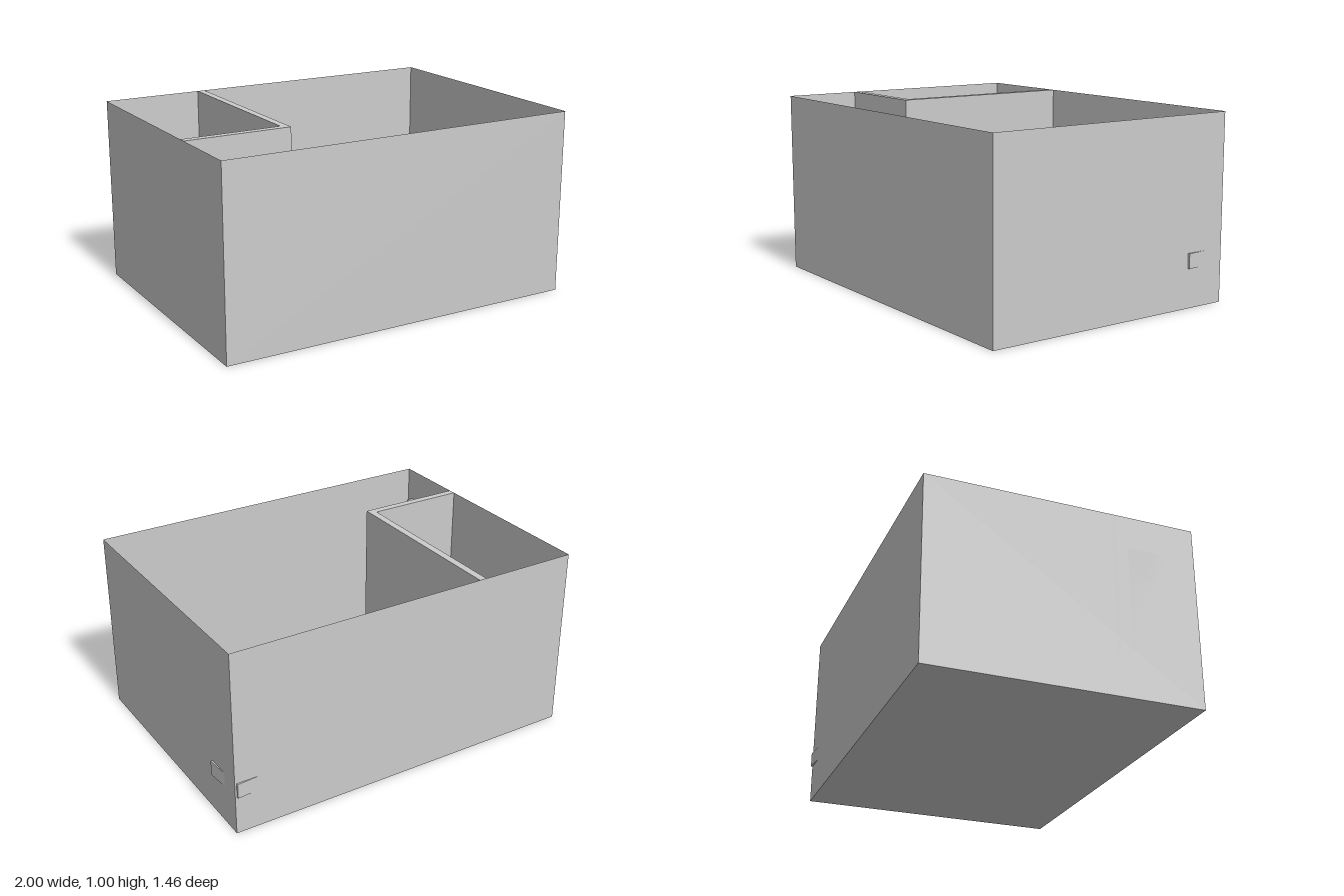
import * as THREE from 'three';

const X0 = -1, X1 = 0.99, Z = 0.725, H = 1;

export function createModel() {
  const group = new THREE.Group();
  const solid = new THREE.MeshStandardMaterial({ color: 0xcccccc, flatShading: true });
  const thin = new THREE.MeshStandardMaterial({ color: 0xcccccc, side: THREE.DoubleSide });

  const add = (name, geometry, material = solid) => {
    const mesh = new THREE.Mesh(geometry, material);
    mesh.name = name;
    group.add(mesh);
    return mesh;
  };
  // Box given by its extents along each axis
  const block = (name, [xa, xb], [ya, yb], [za, zb]) =>
    add(name, new THREE.BoxGeometry(xb - xa, yb - ya, zb - za))
      .position.set((xa + xb) / 2, (ya + yb) / 2, (za + zb) / 2);

  // Room shell: paper-thin floor and four walls, open at the top
  const cx = (X0 + X1) / 2, width = X1 - X0;
  const floor = add('floor', new THREE.PlaneGeometry(width, 2 * Z), thin);
  floor.rotation.x = -Math.PI / 2;
  floor.position.x = cx;
  for (const [name, z] of [['frontWall', Z], ['backWall', -Z]]) {
    add(name, new THREE.PlaneGeometry(width, H), thin).position.set(cx, H / 2, z);
  }
  for (const [name, x] of [['rightWall', X0], ['leftWall', X1]]) {
    const wall = add(name, new THREE.PlaneGeometry(2 * Z, H), thin);
    wall.rotation.y = Math.PI / 2;
    wall.position.set(x, H / 2, 0);
  }

  // L-shaped partition enclosing the back corner room
  const plan = [[X0, 0.31], [-0.42, 0.31], [-0.42, -Z], [-0.46, -Z], [-0.46, 0.27], [X0, 0.27]];
  const outline = new THREE.Shape(plan.map(([x, z]) => new THREE.Vector2(x, -z)));
  add('partition', new THREE.ExtrudeGeometry(outline, { depth: H, bevelEnabled: false }))
    .rotation.x = -Math.PI / 2;

  // Furniture and fittings
  block('door', [X0, -0.96], [0, 0.82], [0.35, 0.68]);
  block('lowCabinet', [-0.42, -0.26], [0, 0.15], [-Z, -0.145]);
  block('wallScreen', [-0.42, -0.38], [0.32, 0.66], [-0.645, -0.19]);
  block('bed', [0.33, X1], [0, 0.21], [-Z, -0.23]);

  // Two pillows, turned slightly opposite ways
  for (const [name, x, z, turn] of [['backPillow', 0.907, -0.607, 0.087], ['frontPillow', 0.885, -0.353, -0.087]]) {
    const pillow = add(name, new THREE.BoxGeometry(0.167, 0.08, 0.244));
    pillow.position.set(x, 0.25, z);
    pillow.rotation.y = turn;
  }
  return group;
}
